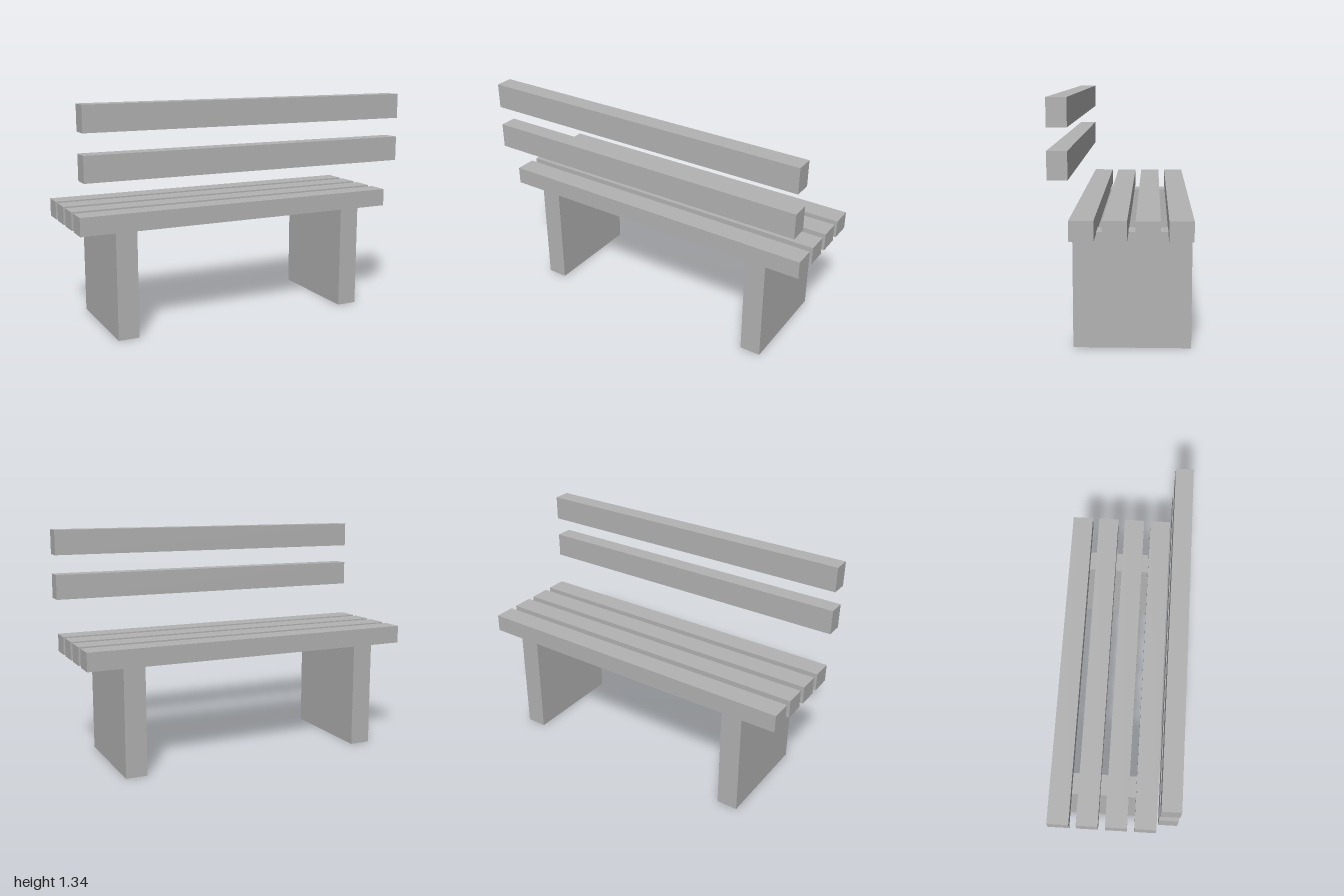
import * as THREE from 'three';

export function createModel() {
  const bench = new THREE.Group();
  bench.name = 'bench';
  const grey = new THREE.MeshStandardMaterial({ color: 0xb2b2b2 });
  grey.name = 'plain grey';

  // Box given by its lower and upper limits on each axis
  const addBox = (name, [x0, x1], [y0, y1], [z0, z1]) => {
    const mesh = new THREE.Mesh(new THREE.BoxGeometry(x1 - x0, y1 - y0, z1 - z0), grey);
    mesh.position.set((x0 + x1) / 2, (y0 + y1) / 2, (z0 + z1) / 2);
    mesh.name = name;
    bench.add(mesh);
  };

  const length = [-1, 1];
  const backZ = -0.367, frontZ = 0.263;

  // Slab legs, rising slightly into the seat slats
  addBox('leftLeg', [0.675, 0.8], [0, 0.632], [backZ, frontZ]);
  addBox('rightLeg', [-0.8, -0.675], [0, 0.632], [backZ, frontZ]);

  // Four evenly spaced seat slats
  const slatDepth = 0.126, pitch = (frontZ - backZ - slatDepth) / 3;
  for (let i = 0; i < 4; i++) {
    const z = backZ + i * pitch;
    addBox(`seatSlat${i + 1}`, length, [0.622, 0.728], [z, z + slatDepth]);
  }

  // Two floating backrest rails
  addBox('lowerBackrestRail', length, [0.93, 1.077], [frontZ, 0.367]);
  addBox('upperBackrestRail', length, [1.193, 1.34], [frontZ, 0.367]);

  return bench;
}
